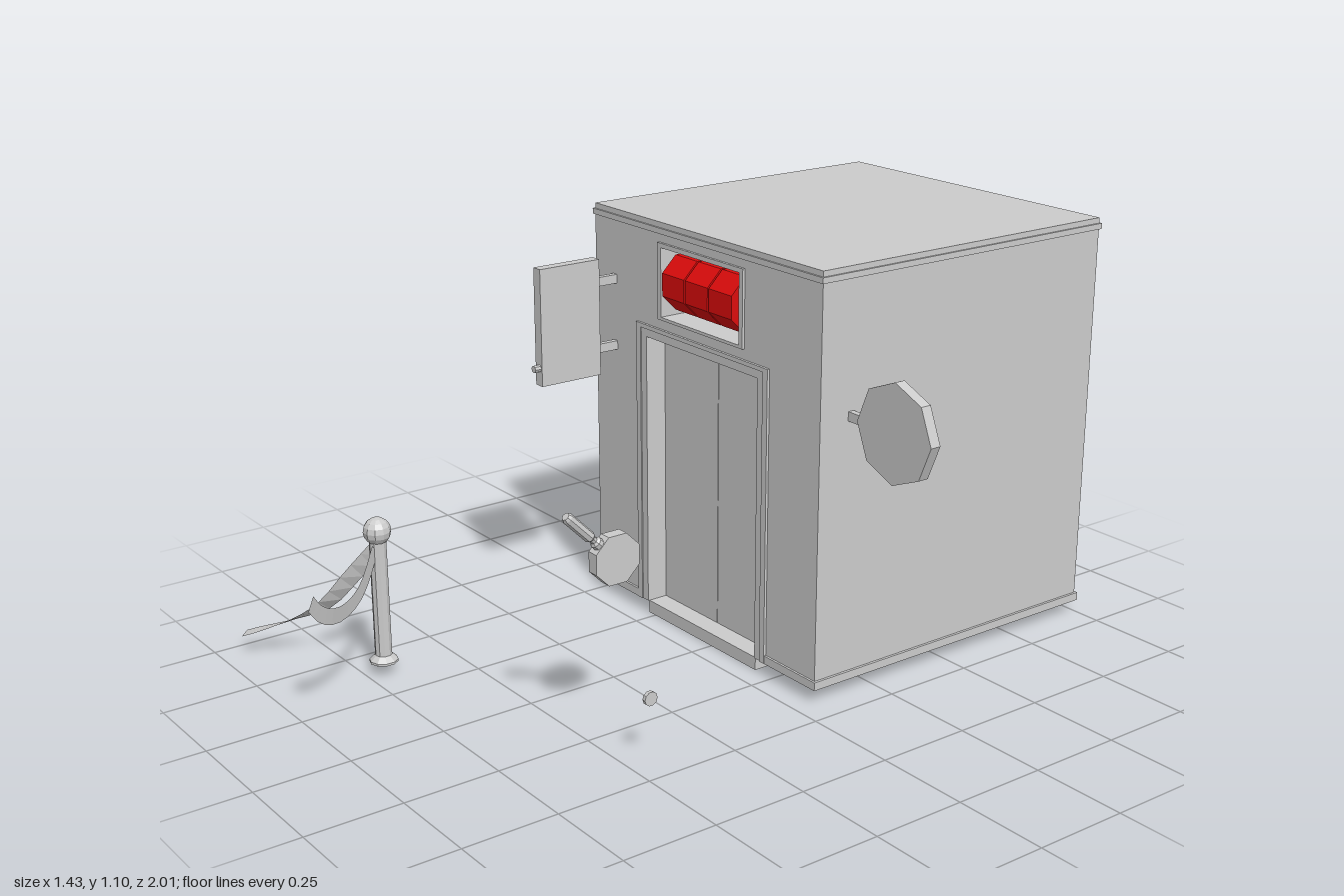
import * as THREE from 'three';

const grey = new THREE.MeshStandardMaterial({ color: 0xcccccc, flatShading: true });
const thin = new THREE.MeshStandardMaterial({ color: 0xcccccc, flatShading: true, side: THREE.DoubleSide });
const red = new THREE.MeshStandardMaterial({ color: 0xdd0c0c, flatShading: true });

// Cabin extents
const L = -0.51, R = 0.418, B = 0.035, T = 1.1, FRONT = -0.064, BACK = -0.995;
const MID = (L + R) / 2;

export function createModel() {
  const root = new THREE.Group();
  root.name = 'liftCabin';

  function add(name, geometry, material = grey, parent = root) {
    const mesh = new THREE.Mesh(geometry, material);
    mesh.name = name;
    parent.add(mesh);
    return mesh;
  }
  function group(name) {
    const g = new THREE.Group();
    g.name = name;
    root.add(g);
    return g;
  }
  // Box given by its min and max on each axis
  function box(name, x0, x1, y0, y1, z0, z1, parent = root) {
    const mesh = add(name, new THREE.BoxGeometry(x1 - x0, y1 - y0, z1 - z0), grey, parent);
    mesh.position.set((x0 + x1) / 2, (y0 + y1) / 2, (z0 + z1) / 2);
    return mesh;
  }
  const points = (list) => list.map(([x, y]) => new THREE.Vector2(x, y));
  const rect = (x0, x1, y0, y1) => points([[x0, y0], [x1, y0], [x1, y1], [x0, y1]]);
  // Flat plate in the xy plane between two depths, with optional holes
  function plate(name, outline, holes, z0, z1, parent = root) {
    const shape = new THREE.Shape(outline);
    holes.forEach((h) => shape.holes.push(new THREE.Path(h)));
    const geo = new THREE.ExtrudeGeometry(shape, { depth: z1 - z0, bevelEnabled: false });
    geo.translate(0, 0, z0);
    return add(name, geo, grey, parent);
  }
  // Upside-down U running round the doorway
  const arch = (x0, x1, top, ix0, ix1, itop) => points([
    [x0, B], [ix0, B], [ix0, itop], [ix1, itop], [ix1, B], [x1, B], [x1, top], [x0, top]]);

  // Cabin: solid body with a front wall cut for the door and the display
  const display = [-0.208, 0.113, 0.853, 1.036];
  box('cabinBody', L, R, B, T, BACK, -0.16);
  plate('frontWall', arch(L, R, T, -0.277, 0.185, 0.785), [rect(...display)], -0.16, FRONT);
  box('floorSlab', -0.277, 0.185, 0, B, -0.76, FRONT);

  // Skirting (open at the doorway) and a thin moulding below the roof
  const skirting = group('skirting');
  box('skirtingLeft', R, R + 0.007, B, 0.057, BACK - 0.005, FRONT + 0.006, skirting);
  box('skirtingRight', L - 0.007, L, B, 0.057, BACK - 0.005, FRONT + 0.006, skirting);
  box('skirtingBack', L, R, B, 0.057, BACK - 0.005, BACK, skirting);
  box('skirtingFrontRight', L, -0.319, B, 0.057, FRONT, FRONT + 0.006, skirting);
  box('skirtingFrontLeft', 0.227, R, B, 0.057, FRONT, FRONT + 0.006, skirting);
  const moulding = add('roofMoulding', new THREE.BoxGeometry(R - L + 0.01, 0.015, FRONT - BACK + 0.01));
  moulding.position.set(MID, 1.078, (FRONT + BACK) / 2);

  // Doorway: stepped frame and two recessed sliding doors
  const doorway = group('doorway');
  plate('doorFrameOuter', arch(-0.319, 0.227, 0.818, -0.3, 0.208, 0.807), [], FRONT, -0.057, doorway);
  plate('doorFrameInner', arch(-0.3, 0.208, 0.807, -0.277, 0.185, 0.785), [], FRONT, -0.06, doorway);
  box('doorRight', -0.277, MID - 0.001, B, 0.785, -0.16, -0.12, doorway);
  box('doorLeft', MID + 0.001, 0.185, B, 0.785, -0.16, -0.12, doorway);

  // Floor display: frame with three red eight-sided drums
  const floorDisplay = group('floorDisplay');
  plate('displayFrame', rect(-0.223, 0.128, 0.845, 1.048), [rect(...display)], FRONT, -0.057, floorDisplay);
  for (let i = 0; i < 3; i++) {
    const geo = new THREE.CylinderGeometry(0.0785, 0.0785, 0.0915, 8);
    geo.rotateY(Math.PI / 8).rotateZ(Math.PI / 2);
    add('displayDrum', geo, red, floorDisplay).position.set(MID + (i - 1) * 0.0972, 0.945, -0.12);
  }

  // Rectangular sign on two brackets, with a small knob on its edge
  const sideSign = group('hangingSign');
  box('signBoard', -0.437, -0.407, 0.66, 0.975, -0.003, 0.182, sideSign);
  for (const y of [0.73, 0.912]) box('signBracket', -0.43, -0.414, y - 0.012, y + 0.012, FRONT, 0, sideSign);
  const knob = add('signKnob', new THREE.CylinderGeometry(0.01, 0.01, 0.02, 8).rotateX(Math.PI / 2), grey, sideSign);
  knob.position.set(-0.42, 0.708, 0.19);

  // Octagonal sign on the left wall
  const octagonSign = group('octagonSign');
  const disc = add('octagonBoard', new THREE.CylinderGeometry(0.127, 0.127, 0.029, 8).rotateX(Math.PI / 2), grey, octagonSign);
  disc.position.set(0.584, 0.73, -0.16);
  box('octagonArm', R, 0.48, 0.718, 0.742, -0.169, -0.152, octagonSign);

  // Loose lever: octagonal hub with a handle tilted forward
  const lever = group('lever');
  lever.position.set(0.308, 0.48, 0.457);
  lever.rotation.x = Math.PI / 4;
  add('leverHub', new THREE.CylinderGeometry(0.065, 0.065, 0.031, 8).rotateZ(Math.PI / 2).rotateX(Math.PI / 8), grey, lever);
  const handle = [[0, 0.05], [0.015, 0.05], [0.015, 0.072], [0.009, 0.078], [0.009, 0.088],
    [0.014, 0.094], [0.014, 0.178], [0.01, 0.186], [0, 0.186]];
  add('leverHandle', new THREE.LatheGeometry(points(handle), 8), grey, lever);

  // Small loose call button
  const button = add('callButton', new THREE.CylinderGeometry(0.018, 0.018, 0.01, 10).rotateZ(Math.PI / 2));
  button.position.set(0.427, 0.165, 0.444);

  // Barrier post with a ball top
  const barrier = group('barrierPost');
  barrier.position.set(-0.382, 0, 0.7);
  const post = [[0, 0.03], [0.037, 0.03], [0.037, 0.036], [0.022, 0.05], [0.022, 0.36], [0, 0.36]];
  add('post', new THREE.LatheGeometry(points(post), 10), grey, barrier);
  add('postBall', new THREE.SphereGeometry(0.036, 10, 8), grey, barrier).position.y = 0.387;

  // Ribbon along a path; its width direction turns from one vector to another
  function ribbon(name, path, width, across) {
    const curve = new THREE.CatmullRomCurve3(path.map((p) => new THREE.Vector3(...p)));
    const n = 12, pos = [], index = [];
    for (let i = 0; i <= n; i++) {
      const t = i / n, c = curve.getPoint(t), side = across(t, curve.getTangent(t)).normalize();
      for (const s of [0.5, -0.5]) pos.push(...c.clone().addScaledVector(side, s * width).toArray());
      if (i < n) index.push(2 * i, 2 * i + 1, 2 * i + 2, 2 * i + 1, 2 * i + 3, 2 * i + 2);
    }
    const geo = new THREE.BufferGeometry();
    geo.setAttribute('position', new THREE.Float32BufferAttribute(pos, 3));
    geo.setIndex(index);
    geo.computeVertexNormals();
    add(name, geo, thin);
  }
  // Hanging strap lying in one upright plane
  const plane = new THREE.Vector3(0.3, 0, -0.22).normalize();
  ribbon('hangingStrap',
    [[-0.37, 0.345, 0.715], [-0.345, 0.298, 0.75], [-0.315, 0.265, 0.79], [-0.27, 0.252, 0.85],
      [-0.22, 0.267, 0.915], [-0.185, 0.3, 0.965], [-0.162, 0.342, 0.998]],
    0.04, (t, tan) => new THREE.Vector3().crossVectors(plane, tan));
  // Fallen strap twisting from upright to flat
  const flat = new THREE.Vector3(0.72, 0, 0.69);
  ribbon('fallenStrap',
    [[-0.39, 0.335, 0.702], [-0.46, 0.25, 0.735], [-0.535, 0.155, 0.778], [-0.59, 0.113, 0.82],
      [-0.65, 0.08, 0.875], [-0.7, 0.056, 0.935]],
    0.042, (t, tan) => {
      const up = new THREE.Vector3(0, 1, 0).addScaledVector(tan, -tan.y).normalize();
      return up.lerp(flat, Math.min(1, t * 1.1));
    });

  return root;
}
